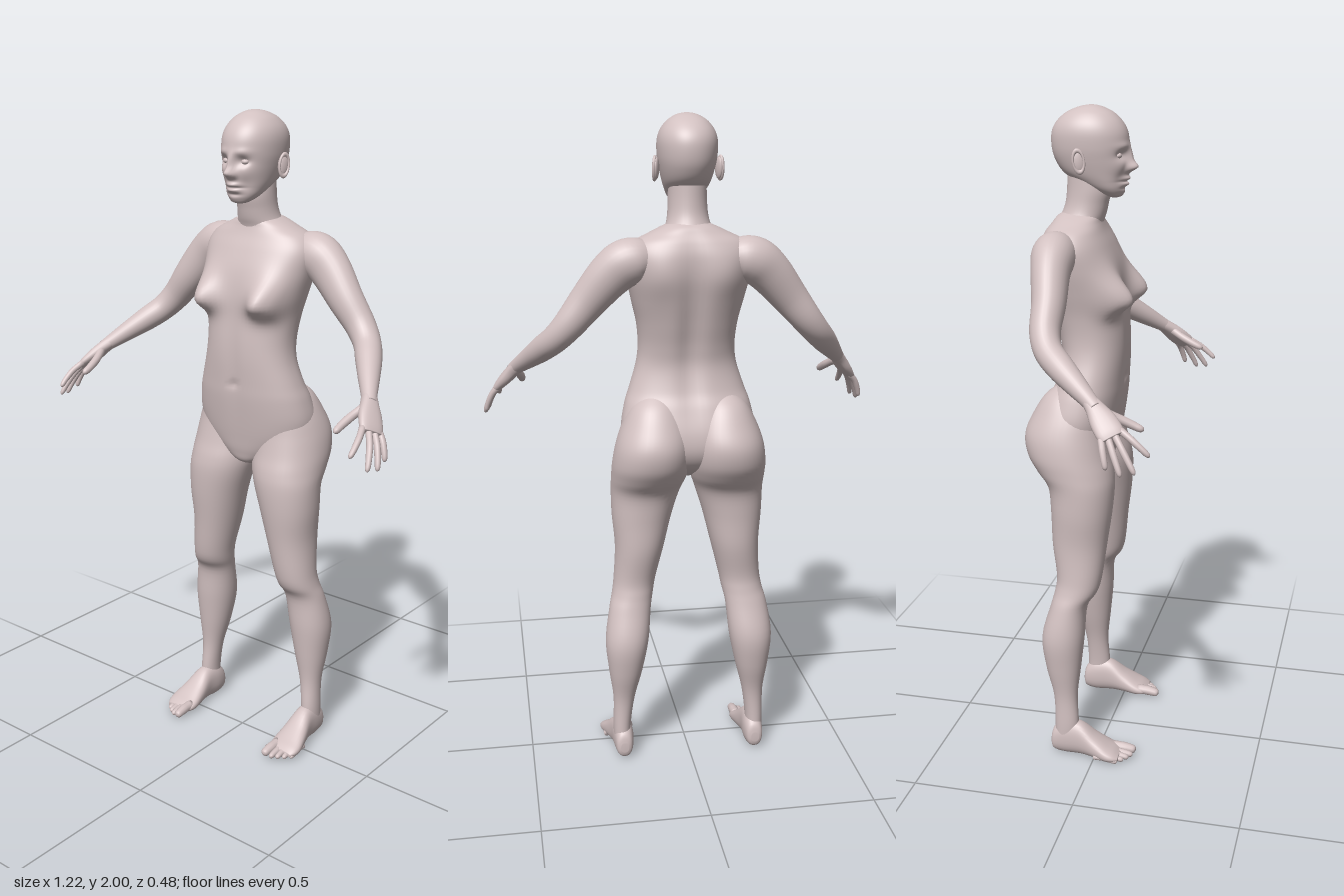
import * as THREE from 'three';

const V = (x, y, z) => new THREE.Vector3(x, y, z);
const X = V(1, 0, 0), Y = V(0, 1, 0), Z = V(0, 0, 1);

// Catmull-Rom interpolation of whole rows of numbers
function sample(rows, t) {
  const i = Math.min(Math.floor(t), rows.length - 2), f = t - i;
  const at = k => rows[Math.max(0, Math.min(rows.length - 1, k))];
  const [a, b, c, d] = [at(i - 1), at(i), at(i + 1), at(i + 2)];
  return b.map((v, k) => v + 0.5 * f * (c[k] - a[k] + f * (2 * a[k] - 5 * v + 4 * c[k] - d[k] + f * (3 * (v - c[k]) + d[k] - a[k]))));
}

// Skin over rows [x, y, z, radiusU, radiusV]; axis fixes the ring plane, otherwise rings follow the path
function loft(rows, { axis = null, ref = X, around = 32, steps = 5, power = 2, shape = null } = {}) {
  const n = (rows.length - 1) * steps, pos = [], index = [];
  const point = t => V(...sample(rows, Math.max(0, Math.min(rows.length - 1, t))).slice(0, 3));
  for (let i = -1; i <= n + 1; i++) {
    const t = Math.max(0, Math.min(n, i)) / steps, r = sample(rows, t);
    const cap = i < 0 || i > n ? 0 : 1;
    const dir = axis ? axis.clone() : point(t + 0.05).sub(point(t - 0.05)).normalize();
    const u = ref.clone().addScaledVector(dir, -ref.dot(dir)).normalize();
    const v = u.clone().cross(dir);
    for (let j = 0; j < around; j++) {
      const a = j / around * Math.PI * 2, c = Math.cos(a), s = Math.sin(a);
      const p = V(r[0], r[1], r[2])
        .addScaledVector(u, cap * Math.max(r[3], 0) * Math.sign(c) * Math.abs(c) ** (2 / power))
        .addScaledVector(v, cap * Math.max(r[4], 0) * Math.sign(s) * Math.abs(s) ** (2 / power));
      if (shape) shape(p, s);
      pos.push(p.x, p.y, p.z);
    }
  }
  for (let i = 0; i < n + 2; i++) for (let j = 0; j < around; j++) {
    const a = i * around + j, b = i * around + (j + 1) % around;
    index.push(a, a + around, b, b, a + around, b + around);
  }
  const g = new THREE.BufferGeometry();
  g.setAttribute('position', new THREE.Float32BufferAttribute(pos, 3));
  g.setIndex(index);
  g.computeVertexNormals();
  return g;
}

// Rows [y, xMin, xMax, zFront, zBack] and [z, xMin, xMax, yLow, yHigh]
const upright = rows => rows.map(([y, a, b, f, k]) => [(a + b) / 2, y, (f + k) / 2, (b - a) / 2, (f - k) / 2]);
const forward = rows => rows.map(([z, a, b, l, h]) => [(a + b) / 2, (l + h) / 2, z, (b - a) / 2, (h - l) / 2]);
const centred = rows => upright(rows.map(([y, w, f, k]) => [y, -w, w, f, k]));

// Finger or toe through a, a raised middle, and b
function digit(a, b, r, lift) {
  const p = f => a.clone().lerp(b, f).addScaledVector(lift, 4 * f * (1 - f)).toArray();
  const rows = [[0, 1.1], [0.3, 1], [0.5, 1.02], [0.75, 0.92], [0.9, 0.82], [0.97, 0.55], [1, 0.08]];
  return loft(rows.map(([f, k]) => [...p(f), r * k, r * k]), { around: 12, steps: 2, ref: X });
}

function mirrored(g) {
  const m = g.clone().scale(-1, 1, 1), ix = m.index.array;
  for (let i = 0; i < ix.length; i += 3) [ix[i], ix[i + 1]] = [ix[i + 1], ix[i]];
  m.computeVertexNormals();
  return m;
}

const bell = (d, s) => Math.exp(-d * d / (2 * s * s));

// Chest, spine groove and shoulder blades
function shapeTorso(p, side) {
  const ax = Math.abs(p.x);
  if (side > 0) {
    p.z += 0.066 * bell(ax - 0.113, 0.036) * bell(p.y - 1.45, p.y < 1.45 ? 0.028 : 0.05) * Math.min(1, side * 2);
    p.z -= 0.006 * bell(p.x, 0.02) * bell(p.y - 1.3, 0.12);
    p.z -= 0.008 * bell(p.x, 0.008) * bell(p.y - 1.195, 0.008);
  } else {
    p.z += 0.018 * bell(p.x, 0.025) * bell(p.y - 1.38, 0.16);
    p.z -= 0.012 * bell(ax - 0.1, 0.04) * bell(p.y - 1.55, 0.05);
  }
}

// Face relief: [x, y, widthX, widthY, push]
const relief = [
  [0, 1.826, 0.010, 0.010, 0.022], [0, 1.85, 0.008, 0.022, 0.014], [0.013, 1.822, 0.006, 0.007, 0.008],
  [0.033, 1.86, 0.014, 0.010, -0.014], [0.034, 1.886, 0.018, 0.007, 0.004], [0.045, 1.83, 0.014, 0.014, 0.004],
  [0, 1.793, 0.016, 0.005, 0.010], [0, 1.777, 0.014, 0.005, 0.009], [0, 1.785, 0.02, 0.0025, -0.005],
  [0, 1.765, 0.018, 0.004, -0.004], [0, 1.75, 0.018, 0.009, 0.006], [0.035, 1.79, 0.012, 0.015, -0.005],
];
function shapeHead(p, side) {
  if (side <= 0) return;
  const ax = Math.abs(p.x), y = p.y;
  for (const [x, cy, sx, sy, push] of relief) p.z += push * bell(ax - x, sx) * bell(y - cy, sy) * Math.min(1, side * 2);
}

export function createModel() {
  const model = new THREE.Group();
  model.name = 'standingFigure';
  const skin = new THREE.MeshStandardMaterial({ color: 0xd2c1c1 });
  skin.name = 'skin';
  const add = (name, g, parent = model) => {
    const m = new THREE.Mesh(g, skin);
    m.name = name;
    parent.add(m);
  };
  const pair = (name, g) => { add(name + 'Left', g); add(name + 'Right', mirrored(g)); };

  // Trunk
  add('torso', loft(centred([
    [0.918, 0.005, -0.05, -0.07], [0.935, 0.045, 0, -0.11], [0.97, 0.12, 0.016, -0.17], [1.02, 0.185, 0.026, -0.2],
    [1.08, 0.203, 0.036, -0.2], [1.15, 0.192, 0.046, -0.177], [1.2, 0.175, 0.05, -0.155], [1.27, 0.153, 0.055, -0.142],
    [1.33, 0.146, 0.055, -0.15], [1.4, 0.152, 0.05, -0.168], [1.47, 0.168, 0.045, -0.185], [1.54, 0.183, 0.03, -0.198],
    [1.6, 0.188, 0.006, -0.198], [1.64, 0.165, -0.014, -0.187], [1.665, 0.118, -0.024, -0.172], [1.685, 0.075, -0.03, -0.158],
    [1.70, 0.035, -0.05, -0.13],
  ]), { axis: Y, around: 72, steps: 6, power: 2.25, shape: shapeTorso }));
  add('neck', loft(centred([
    [1.6, 0.085, -0.035, -0.175], [1.66, 0.078, -0.025, -0.165], [1.69, 0.065, -0.015, -0.148], [1.72, 0.059, -0.008, -0.137],
    [1.76, 0.057, 0, -0.132], [1.81, 0.055, -0.01, -0.13],
  ]), { axis: Y }));

  // Head
  add('head', loft(centred([
    [1.737, 0.008, 0.018, 0.002], [1.741, 0.024, 0.028, -0.008], [1.75, 0.039, 0.033, -0.03], [1.765, 0.052, 0.042, -0.065],
    [1.785, 0.062, 0.047, -0.105], [1.81, 0.071, 0.05, -0.143], [1.845, 0.08, 0.053, -0.166], [1.88, 0.086, 0.054, -0.176],
    [1.92, 0.087, 0.05, -0.176], [1.95, 0.079, 0.036, -0.163], [1.975, 0.061, 0.012, -0.137], [1.99, 0.04, -0.015, -0.107],
    [1.997, 0.022, -0.035, -0.083], [2, 0.004, -0.053, -0.063],
  ]), { axis: Y, around: 96, steps: 9, power: 2.1, shape: shapeHead }));
  pair('eye', new THREE.SphereGeometry(0.012, 16, 12).scale(1.1, 0.75, 1).translate(0.033, 1.859, 0.028));
  const place = g => g.rotateY(-0.35).rotateX(-0.15).translate(0.091, 1.845, -0.075);
  pair('ear', place(new THREE.SphereGeometry(1, 16, 12).scale(0.008, 0.032, 0.018)));
  pair('earRim', place(new THREE.TorusGeometry(1, 0.22, 8, 24).scale(0.016, 0.031, 0.022).rotateY(Math.PI / 2).translate(0.005, 0, 0)));

  // Arms
  pair('arm', loft([
    [0.10, 1.58, -0.125, 0.035, 0.04], [0.145, 1.59, -0.125, 0.06, 0.062], [0.19, 1.583, -0.125, 0.064, 0.069],
    [0.238, 1.545, -0.12, 0.056, 0.065], [0.30, 1.472, -0.108, 0.049, 0.055], [0.355, 1.405, -0.104, 0.044, 0.046],
    [0.395, 1.36, -0.083, 0.041, 0.041], [0.43, 1.325, -0.04, 0.039, 0.038], [0.465, 1.29, 0.01, 0.032, 0.031],
    [0.50, 1.255, 0.06, 0.023, 0.023], [0.515, 1.24, 0.08, 0.022, 0.02],
  ], { ref: Z, around: 28 }));

  // Hands
  const across = V(-0.35, 0.25, 0.9);
  pair('palm', loft([
    [0.495, 1.26, 0.052, 0.02, 0.02], [0.512, 1.241, 0.076, 0.026, 0.02], [0.532, 1.215, 0.102, 0.036, 0.019],
    [0.552, 1.19, 0.126, 0.038, 0.015], [0.562, 1.177, 0.138, 0.033, 0.01],
  ], { ref: across, around: 24, power: 2.4 }));
  const lift = V(0.006, 0.005, 0);
  const fingers = [
    ['index', [0.542, 1.195, 0.152], [0.557, 1.13, 0.236]], ['middle', [0.55, 1.19, 0.136], [0.594, 1.09, 0.204]],
    ['ring', [0.556, 1.185, 0.12], [0.604, 1.085, 0.168]], ['little', [0.56, 1.182, 0.104], [0.6, 1.1, 0.127]],
  ];
  for (const [name, a, b] of fingers) pair(name + 'Finger', digit(V(...a), V(...b), 0.0095, lift));
  pair('thumb', digit(V(0.512, 1.235, 0.092), V(0.486, 1.18, 0.205), 0.0125, V(-0.008, -0.002, 0)));

  // Legs, with the seat formed by their upper ends
  pair('leg', loft(upright([
    [0.03, 0.187, 0.24, -0.065, -0.132], [0.1, 0.188, 0.243, -0.055, -0.13], [0.2, 0.175, 0.242, -0.06, -0.135],
    [0.3, 0.15, 0.255, -0.05, -0.16], [0.4, 0.13, 0.264, -0.04, -0.172], [0.5, 0.12, 0.25, -0.033, -0.147],
    [0.55, 0.11, 0.238, -0.003, -0.135], [0.6, 0.1, 0.231, 0.01, -0.131], [0.7, 0.075, 0.226, 0.022, -0.147],
    [0.8, 0.05, 0.234, 0.035, -0.152], [0.88, 0.025, 0.236, 0.04, -0.163], [0.93, 0.008, 0.236, 0.035, -0.2],
    [0.98, 0, 0.234, 0.022, -0.23], [1.04, 0, 0.224, 0.01, -0.238], [1.1, 0.01, 0.203, 0, -0.214],
    [1.16, 0.04, 0.17, -0.03, -0.175], [1.2, 0.08, 0.12, -0.08, -0.12],
  ]), { axis: Y, around: 40, power: 2.1 }));

  // Feet
  pair('foot', loft(forward([
    [-0.143, 0.2, 0.225, 0.025, 0.055], [-0.134, 0.187, 0.237, 0.007, 0.085], [-0.1, 0.18, 0.243, 0, 0.11],
    [-0.05, 0.18, 0.248, 0.002, 0.112], [0, 0.172, 0.262, 0.002, 0.076], [0.04, 0.167, 0.272, 0, 0.05],
    [0.065, 0.17, 0.27, 0.003, 0.036], [0.082, 0.18, 0.26, 0.009, 0.024],
  ]), { axis: Z, power: 2.3 }));
  const toes = [[0.186, 0.125, 0.0155], [0.209, 0.12, 0.0105], [0.227, 0.11, 0.01], [0.244, 0.097, 0.0095], [0.26, 0.08, 0.009]];
  toes.forEach(([x, z, r], i) =>
    pair('toe' + (i + 1), digit(V(0.21 + (x - 0.21) * 0.9, r + 0.008, z - 0.075), V(x, r, z), r, V(0, 0.003, 0))));

  return model;
}
